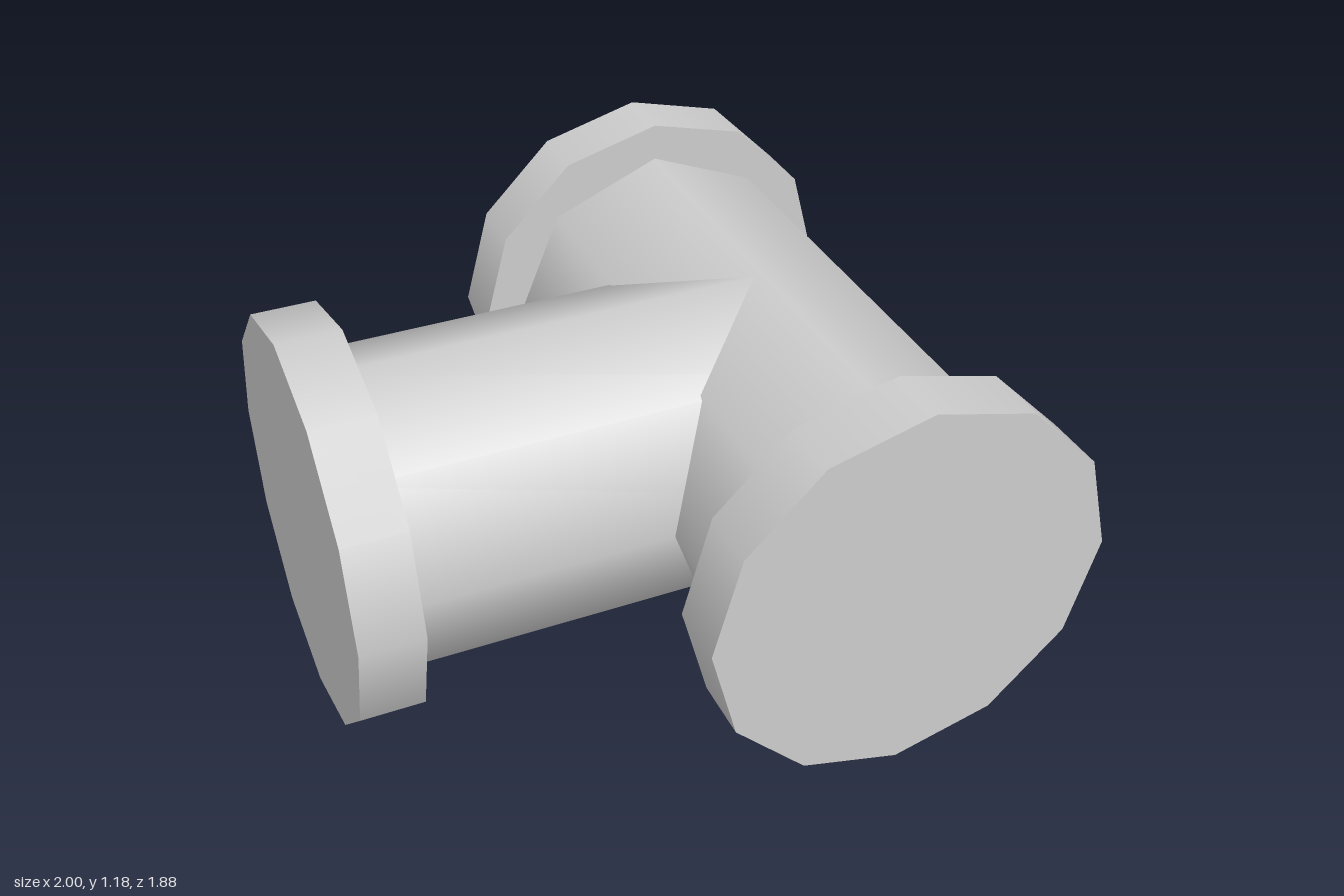
import * as THREE from 'three';

const material = new THREE.MeshStandardMaterial({ color: 0xcccccc });
const AXIS_Y = 0.59;   // height of the pipe axes
const RUN_X = 0.41;    // x of the straight run's axis

// Low-poly cylinder lying along 'x' or 'z' between two positions
function bar(name, axis, from, to, radius, sides, open = false) {
  const geometry = new THREE.CylinderGeometry(radius, radius, to - from, sides, 1, open);
  const mid = (from + to) / 2;
  if (axis === 'x') geometry.rotateZ(Math.PI / 2);
  else geometry.rotateX(Math.PI / 2);
  const mesh = new THREE.Mesh(geometry, material);
  mesh.name = name;
  mesh.position.set(axis === 'x' ? mid : RUN_X, AXIS_Y, axis === 'x' ? 0 : mid);
  return mesh;
}

export function createModel() {
  const group = new THREE.Group();
  group.name = 'pipeTee';

  // Eight-sided pipes: straight run and side branch, ends buried in the flanges
  group.add(bar('runPipe', 'z', -0.85, 0.85, 0.475, 8));
  group.add(bar('branchPipe', 'x', -0.9, RUN_X, 0.465, 8));

  // Twelve-sided closed flanges
  group.add(bar('frontFlange', 'z', 0.76, 0.942, 0.59, 12));
  group.add(bar('backFlange', 'z', -0.942, -0.76, 0.59, 12));
  group.add(bar('branchFlange', 'x', -1, -0.817, 0.59, 12));

  return group;
}
